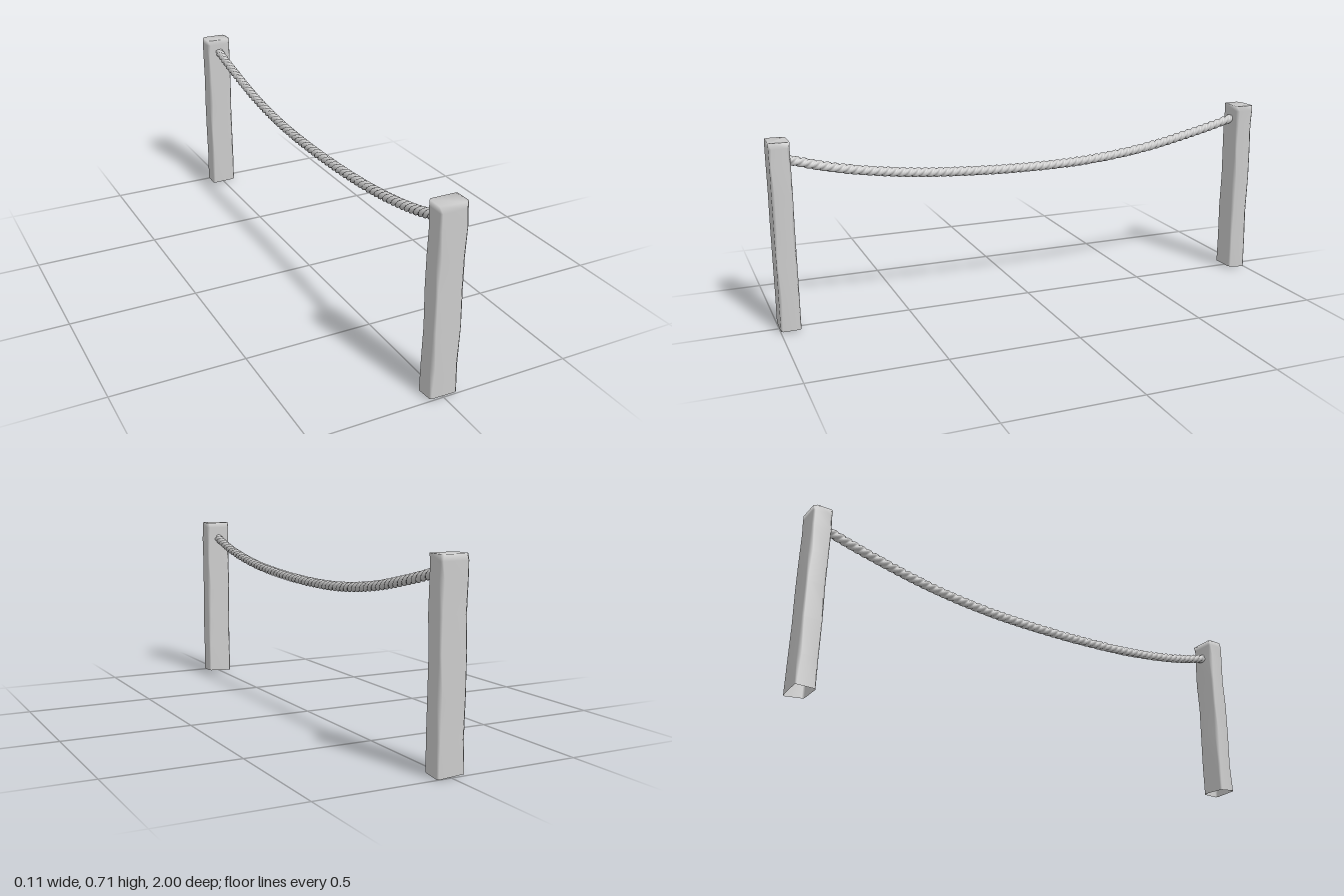
import * as THREE from 'three';

const material = new THREE.MeshStandardMaterial({ color: 0xcccccc, side: THREE.DoubleSide });

// Joins rings of equal point count into one smooth surface, with an optional end cap
function loft(rings, capTop) {
  const n = rings[0].length;
  const positions = rings.flat().flatMap((p) => [p.x, p.y, p.z]);
  const index = [];
  for (let r = 0; r < rings.length - 1; r++) {
    for (let i = 0; i < n; i++) {
      const a = r * n + i, b = r * n + (i + 1) % n;
      index.push(a, a + n, b, b, a + n, b + n);
    }
  }
  if (capTop) {
    const base = (rings.length - 1) * n;
    for (let i = 1; i < n - 1; i++) index.push(base, base + i + 1, base + i);
  }
  const geometry = new THREE.BufferGeometry();
  geometry.setAttribute('position', new THREE.Float32BufferAttribute(positions, 3));
  geometry.setIndex(index);
  geometry.computeVertexNormals();
  return geometry;
}

// Rough-hewn post: rectangular rings whose worn corners vary with height, open underneath
function createPost(name, phase) {
  const w = 0.053, d = 0.0375;
  const heights = [0.004, 0.12, 0.26, 0.4, 0.52, 0.63, 0.69, 0.712];
  const corners = [[1, 1], [1, -1], [-1, -1], [-1, 1]];
  const rings = heights.map((y, k) => corners.flatMap(([sx, sz], i) => {
    const worn = 0.005 + 0.0035 * (1 + Math.sin(k * 2.1 + i * 1.7 + phase)) * (k ? 1 : 0.3);
    const foot = k ? 0 : 0.004 * Math.sin(i * 2.3 + phase);
    const onSide = new THREE.Vector3(sx * w, y + foot, sz * (d - worn));
    const onFace = new THREE.Vector3(sx * (w - worn), y + foot, sz * d);
    return sx * sz > 0 ? [onFace, onSide] : [onSide, onFace];
  }));
  const post = new THREE.Mesh(loft(rings, true), material);
  post.name = name;
  return post;
}

// Sagging rope: a three-lobed section swept along the curve while it twists
function createRope() {
  const curve = new THREE.CatmullRomCurve3([
    [0.935, 0.64], [0.75, 0.592], [0.5, 0.553], [0.25, 0.534], [0, 0.527],
    [-0.25, 0.533], [-0.5, 0.56], [-0.75, 0.61], [-0.935, 0.656],
  ].map(([z, y]) => new THREE.Vector3(0, y, z)));
  const steps = 440, sides = 18, strands = 3, turns = 22;
  const side = new THREE.Vector3(1, 0, 0);
  const rings = [];
  for (let s = 0; s <= steps; s++) {
    const centre = curve.getPointAt(s / steps);
    const up = curve.getTangentAt(s / steps).cross(side).negate();
    const twist = (s / steps) * turns * Math.PI * 2;
    rings.push(Array.from({ length: sides }, (_, i) => {
      const a = -(i / sides) * Math.PI * 2;
      const lobe = Math.abs(Math.sin((a * strands) / 2));
      const radius = 0.0135 + 0.0053 * lobe;
      return centre.clone()
        .addScaledVector(side, Math.cos(a + twist) * radius)
        .addScaledVector(up, Math.sin(a + twist) * radius);
    }));
  }
  const rope = new THREE.Mesh(loft(rings, false), material);
  rope.name = 'rope';
  return rope;
}

export function createModel() {
  const model = new THREE.Group();
  model.name = 'ropeBarrier';

  const frontPost = createPost('frontPost', 0.4);
  frontPost.position.z = 0.9625;
  const backPost = createPost('backPost', 2.2);
  backPost.position.z = -0.9625;

  model.add(frontPost, backPost, createRope());
  return model;
}
